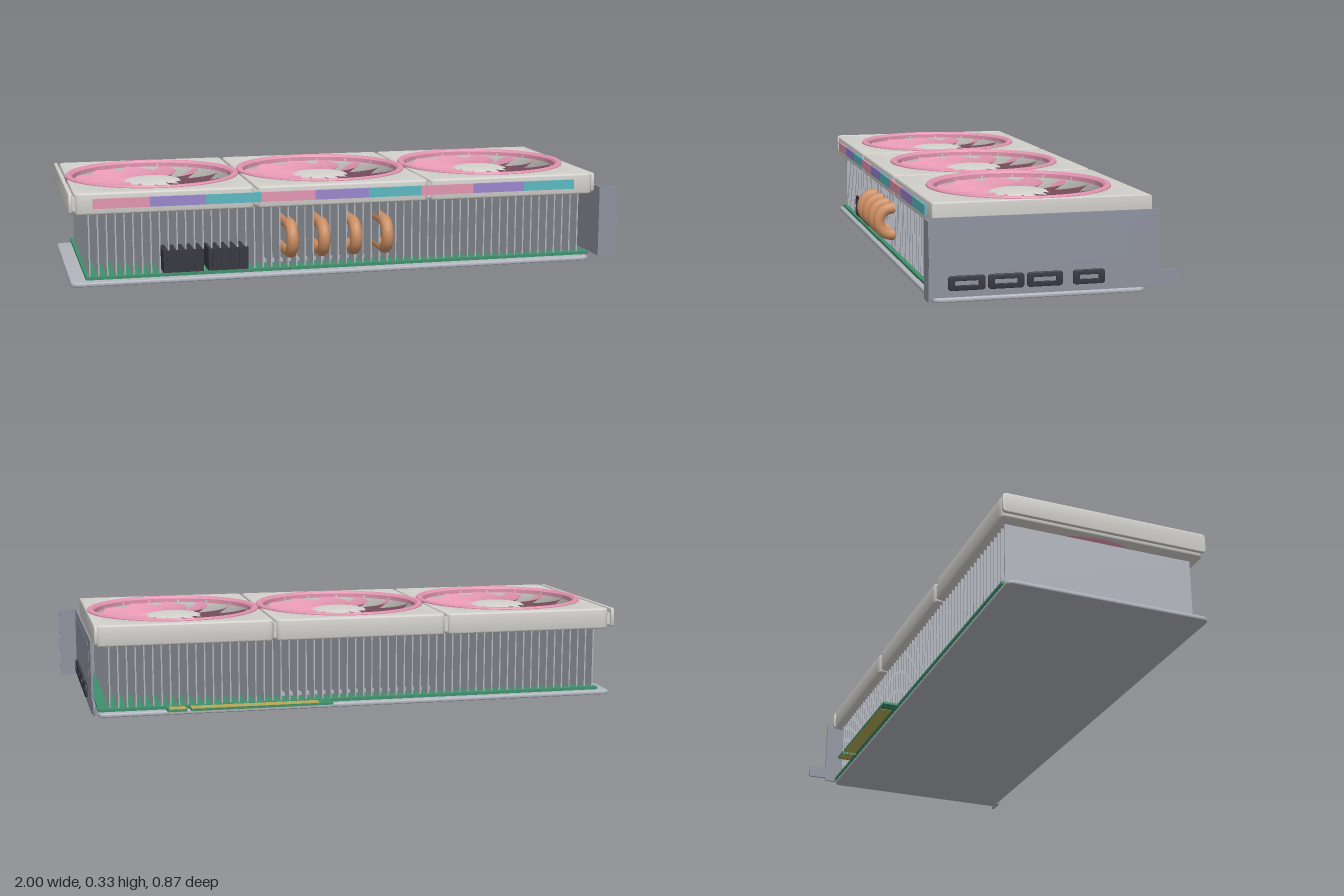
import * as THREE from 'three';
import { toCreasedNormals } from 'three/addons/utils/BufferGeometryUtils.js';

const mat = (name, color, side = THREE.FrontSide) => {
  const m = new THREE.MeshStandardMaterial({ color, side });
  m.name = name;
  return m;
};
const M = {
  shell: mat('shroud grey', 0xd3d1cc),
  pink: mat('fan pink', 0xe295b0, THREE.DoubleSide),
  purple: mat('strip purple', 0x9886cc),
  teal: mat('strip teal', 0x5cb8c1),
  board: mat('board green', 0x3f8f6c),
  gold: mat('contact gold', 0xb5a957),
  dark: mat('plastic black', 0x353640),
  copper: mat('copper', 0xcc8e62),
  steel: mat('bracket steel', 0x8e929e),
  silver: mat('fin silver', 0xb0b4bc),
};

function add(parent, name, geo, material) {
  const m = new THREE.Mesh(geo, material);
  m.name = name;
  parent.add(m);
  return m;
}

// box given by its limits on each axis
function box(parent, name, material, x0, x1, y0, y1, z0, z1) {
  const m = add(parent, name, new THREE.BoxGeometry(x1 - x0, y1 - y0, z1 - z0), material);
  m.position.set((x0 + x1) / 2, (y0 + y1) / 2, (z0 + z1) / 2);
  return m;
}

function roundedRect(w, h, r, Type = THREE.Shape) {
  const s = new Type();
  const a = w / 2, b = h / 2;
  s.moveTo(-a + r, -b);
  s.lineTo(a - r, -b).quadraticCurveTo(a, -b, a, -b + r);
  s.lineTo(a, b - r).quadraticCurveTo(a, b, a - r, b);
  s.lineTo(-a + r, b).quadraticCurveTo(-a, b, -a, b - r);
  s.lineTo(-a, -b + r).quadraticCurveTo(-a, -b, -a + r, -b);
  return s;
}

// extrusion with a rounded edge that keeps the outline at full size
function plate(shape, depth, bevel) {
  const g = new THREE.ExtrudeGeometry(shape, {
    depth: depth - 2 * bevel, curveSegments: 24, bevelEnabled: bevel > 0,
    bevelSize: bevel, bevelThickness: bevel, bevelOffset: -bevel, bevelSegments: 3,
  });
  g.translate(0, 0, bevel);
  return toCreasedNormals(g, 0.6);
}
const flat = (shape, depth, bevel = 0) => plate(shape, depth, bevel).rotateX(-Math.PI / 2);
const sideways = (shape, depth, bevel = 0) => plate(shape, depth, bevel).rotateY(Math.PI / 2);

// swept, tilted fan blade, lower on its leading edge
function bladeGeometry() {
  const g = new THREE.PlaneGeometry(1, 1, 6, 10);
  const p = g.attributes.position;
  for (let i = 0; i < p.count; i++) {
    const s = p.getX(i), t = p.getY(i) + 0.5;
    const r = 0.098 + 0.187 * t;
    const a = 0.5 * Math.pow(t, 1.4) + s * (0.42 - 0.1 * t * t * t);
    const y = 0.283 - s * (0.05 + 0.012 * t) + 0.02 * (0.25 - s * s);
    p.setXYZ(i, r * Math.cos(a), y, -r * Math.sin(a));
  }
  g.computeVertexNormals();
  return g;
}

function createFan(blade) {
  const fan = new THREE.Group();
  fan.name = 'fan';
  const v = (x, y) => new THREE.Vector2(x, y);
  const hub = [v(0.0001, 0.25), v(0.106, 0.25), v(0.106, 0.297), v(0.102, 0.304),
    v(0.085, 0.309), v(0.045, 0.313), v(0.0001, 0.314)];
  add(fan, 'hub', toCreasedNormals(new THREE.LatheGeometry(hub, 48), 0.6), M.shell);
  const rim = [v(0.2885, 0.31), v(0.315, 0.31), v(0.315, 0.329), v(0.312, 0.333),
    v(0.296, 0.333), v(0.2885, 0.325), v(0.2885, 0.31)];
  add(fan, 'rim', toCreasedNormals(new THREE.LatheGeometry(rim, 64), 0.6), M.pink);
  const blades = 13;
  for (let i = 0; i < blades; i++) {
    add(fan, 'blade', blade, M.pink).rotation.y = (i / blades) * Math.PI * 2;
  }
  return fan;
}

export function createModel() {
  const root = new THREE.Group();
  root.name = 'graphicsCard';

  // backplate, spacers and circuit board
  add(root, 'backplate', flat(roundedRect(1.9, 0.716, 0.025), 0.015, 0.004), M.silver)
    .position.set(-0.046, 0, 0.028);
  for (const x of [-0.8, -0.05, 0.8]) {
    for (const z of [-0.24, 0.283]) {
      const spacer = add(root, 'spacer', new THREE.CylinderGeometry(0.02, 0.02, 0.012, 16), M.board);
      spacer.position.set(x, 0.018, z);
    }
  }
  box(root, 'circuitBoard', M.board, -0.945, 0.905, 0.021, 0.031, -0.33, 0.375);

  // edge connector with its key notch
  for (const [a, b] of [[0.08, 0.588], [0.602, 0.67]]) {
    box(root, 'edgeConnector', M.board, a, b, 0.022, 0.03, -0.386, -0.33);
  }
  for (const [a, b] of [[0.13, 0.586], [0.604, 0.662]]) {
    box(root, 'contacts', M.gold, a, b, 0.0205, 0.0315, -0.384, -0.338);
  }

  // heatsink: base plate and fin stack
  box(root, 'coldPlate', M.silver, -0.32, 0.25, 0.031, 0.042, -0.24, 0.28);
  const fins = 60;
  const finGeo = new THREE.BoxGeometry(0.005, 0.22, 0.675);
  for (let i = 0; i < fins; i++) {
    add(root, 'fin', finGeo, M.silver)
      .position.set(-0.93 + (1.793 * i) / (fins - 1), 0.141, 0.024);
  }

  // heat pipes: two straight runs joined by a bend at the front
  const pipePath = new THREE.CurvePath();
  const P = (y, z) => new THREE.Vector3(0, y, z);
  const bend = [];
  for (let i = 0; i <= 12; i++) {
    const a = Math.PI / 2 - (i / 12) * Math.PI;
    bend.push(P(0.135 + 0.049 * Math.sin(a), 0.367 + 0.049 * Math.cos(a)));
  }
  pipePath.add(new THREE.LineCurve3(P(0.184, -0.2), bend[0]));
  pipePath.add(new THREE.CatmullRomCurve3(bend));
  pipePath.add(new THREE.LineCurve3(bend[12], P(0.086, -0.2)));
  const pipeGeo = new THREE.TubeGeometry(pipePath, 120, 0.0215, 14);
  for (const x of [-0.227, -0.113, 0.003, 0.119]) {
    add(root, 'heatPipe', pipeGeo, M.copper).position.x = x;
  }

  // power sockets with a grid of pins
  for (const x of [-0.675, -0.517]) {
    box(root, 'powerSocket', M.dark, x, x + 0.141, 0.031, 0.11, 0.26, 0.366);
    for (let i = 0; i < 8; i++) {
      const px = x + 0.012 + (i % 4) * 0.032, py = 0.04 + Math.floor(i / 4) * 0.034;
      box(root, 'powerPin', M.dark, px, px + 0.021, py, py + 0.024, 0.366, 0.37);
    }
  }

  // shroud panels, each holding one fan
  const panel = roundedRect(0.624, 0.732, 0.025);
  const hole = new THREE.Path();
  hole.absarc(0, 0.004, 0.289, 0, Math.PI * 2, true);
  panel.holes.push(hole);
  const panelGeo = flat(panel, 0.075, 0.006);
  const blade = bladeGeometry();
  for (const x of [-0.666, -0.035, 0.596]) {
    add(root, 'shroudPanel', panelGeo, M.shell).position.set(x, 0.251, 0.024);
    const fan = createFan(blade);
    fan.position.set(x, 0, 0.02);
    root.add(fan);
  }
  // strips between the panels and end caps
  for (const x of [-0.3505, 0.2805]) {
    box(root, 'panelJoint', M.shell, x - 0.006, x + 0.006, 0.262, 0.315, -0.335, 0.383);
  }
  const capGeo = sideways(roundedRect(0.735, 0.07, 0.014), 0.013, 0.003);
  for (const x of [-0.998, 0.901]) {
    add(root, 'endCap', capGeo, M.shell).position.set(x, 0.292, 0.0225);
  }
  box(root, 'endCapWeb', M.shell, -0.99, -0.974, 0.265, 0.31, -0.335, 0.38);

  // coloured strip along the front
  const tones = [M.pink, M.purple, M.teal];
  for (let i = 0; i < 9; i++) {
    const x = -0.917 + i * 0.1943;
    box(root, 'lightStrip', tones[i % 3], x, x + 0.1943, 0.273, 0.307, 0.388, 0.397);
  }

  // mounting bracket with bent lip, tab and embossed panel
  box(root, 'bracket', M.steel, 0.923, 0.93, 0.023, 0.28, -0.366, 0.416);
  box(root, 'bracketLip', M.steel, 0.923, 0.992, 0.023, 0.28, 0.414, 0.42);
  box(root, 'lipCatch', M.steel, 0.99, 1.0, 0.135, 0.17, 0.414, 0.42);
  add(root, 'bracketTab', sideways(roundedRect(0.085, 0.045, 0.008), 0.007), M.steel)
    .position.set(0.923, 0.0555, -0.3925);
  add(root, 'bracketPanel', sideways(roundedRect(0.645, 0.125, 0.015), 0.001), M.steel)
    .position.set(0.93, 0.1925, 0.0525);

  // display ports
  for (const [a, b] of [[0.2225, 0.344], [0.094, 0.213], [-0.035, 0.084], [-0.178, -0.07]]) {
    const w = b - a, z = (a + b) / 2;
    const frame = roundedRect(w, 0.048, 0.012);
    frame.holes.push(roundedRect(w - 0.044, 0.014, 0.002, THREE.Path));
    add(root, 'port', sideways(frame, 0.009, 0.002), M.dark).position.set(0.93, 0.069, z);
    box(root, 'portSlot', M.steel, 0.93, 0.934, 0.061, 0.077, z - w / 2 + 0.021, z + w / 2 - 0.021);
  }
  return root;
}
